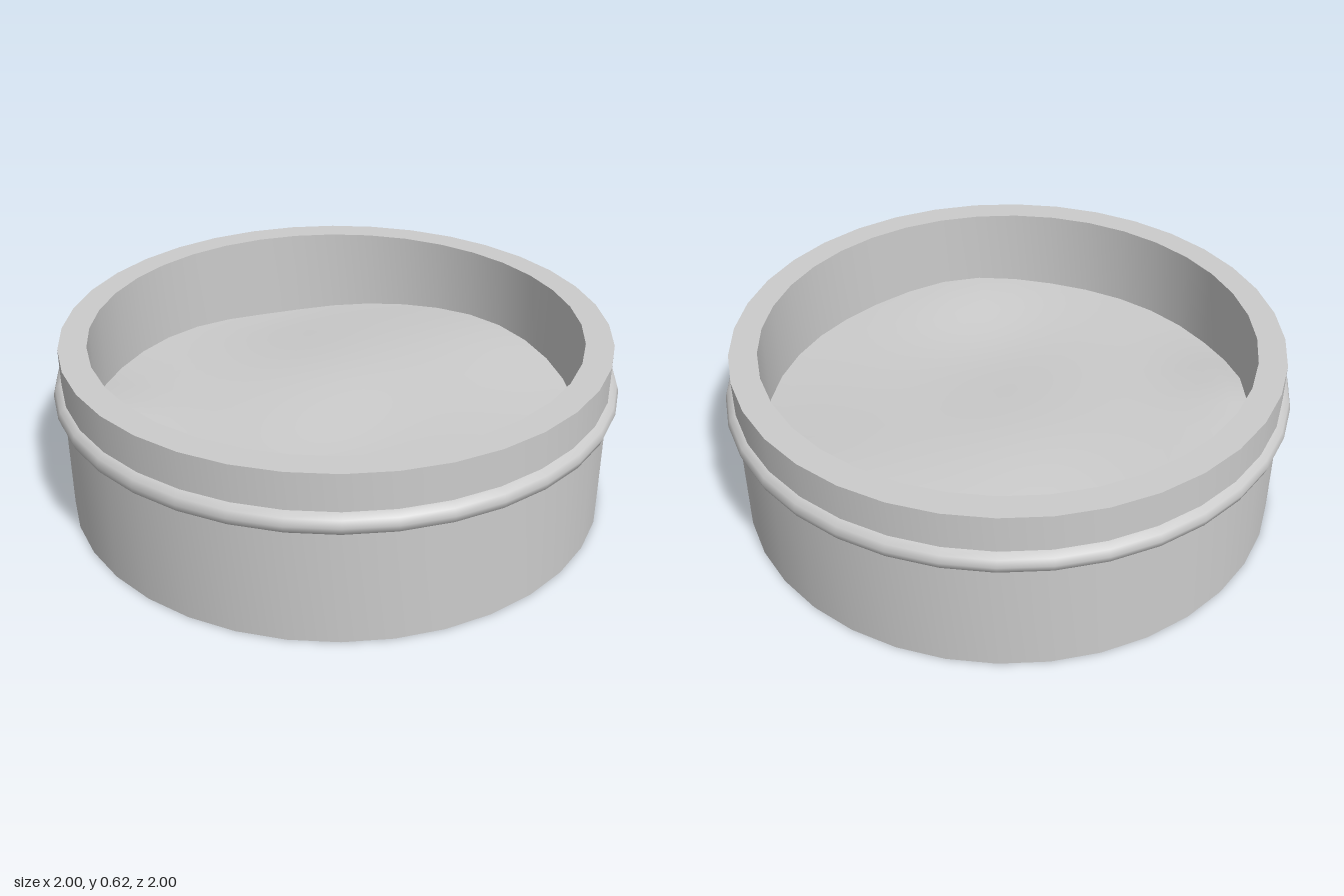
import * as THREE from 'three';
import { toCreasedNormals, mergeVertices } from 'three/addons/utils/BufferGeometryUtils.js';

const SIDES = 36;
const TWIST = THREE.MathUtils.degToRad(1.5);
const OUTER = 0.97, INNER = 0.872, HEIGHT = 0.62;

// Gentle mounds and hollows on the contents: x, z, height, spread
const BUMPS = [
  [-0.73, -0.46, 0.04, 0.22],
  [0.8, -0.05, 0.045, 0.45],
  [-0.35, 0.8, 0.03, 0.3],
  [0.33, -0.8, -0.025, 0.3],
  [-0.2, 0.35, -0.02, 0.3],
  [0.1, -0.2, 0.015, 0.3],
];

function fillHeight(x, z) {
  let y = 0.305;
  for (const [bx, bz, h, s] of BUMPS) y += h * Math.exp(-((x - bx) ** 2 + (z - bz) ** 2) / (s * s));
  return y;
}

export function createModel() {
  const model = new THREE.Group();
  const material = new THREE.MeshStandardMaterial({ color: 0xcccccc });
  const add = (name, geometry) => {
    const mesh = new THREE.Mesh(geometry, material);
    mesh.name = name;
    model.add(mesh);
  };

  // Thick-walled round dish with a flat rim
  const profile = [[0, 0], [OUTER, 0], [OUTER, HEIGHT], [INNER, HEIGHT], [INNER, 0.1], [0, 0.1]]
    .map(([r, y]) => new THREE.Vector2(r, y));
  add('dish', toCreasedNormals(new THREE.LatheGeometry(profile, SIDES, TWIST), 0.6));

  // Rounded band around the outside
  const band = new THREE.TorusGeometry(0.958, 0.042, 10, SIDES);
  band.rotateX(Math.PI / 2);
  band.rotateY(TWIST);
  band.translate(0, 0.448, 0);
  add('band', band);

  // Uneven contents reaching the inner wall
  let fill = new THREE.RingGeometry(0, INNER, SIDES, 16);
  fill.rotateX(-Math.PI / 2);
  fill.rotateY(TWIST);
  const p = fill.attributes.position;
  for (let i = 0; i < p.count; i++) p.setY(i, fillHeight(p.getX(i), p.getZ(i)));
  fill.deleteAttribute('normal');
  fill.deleteAttribute('uv');
  fill = mergeVertices(fill, 1e-4);
  fill.computeVertexNormals();
  add('contents', fill);

  return model;
}
